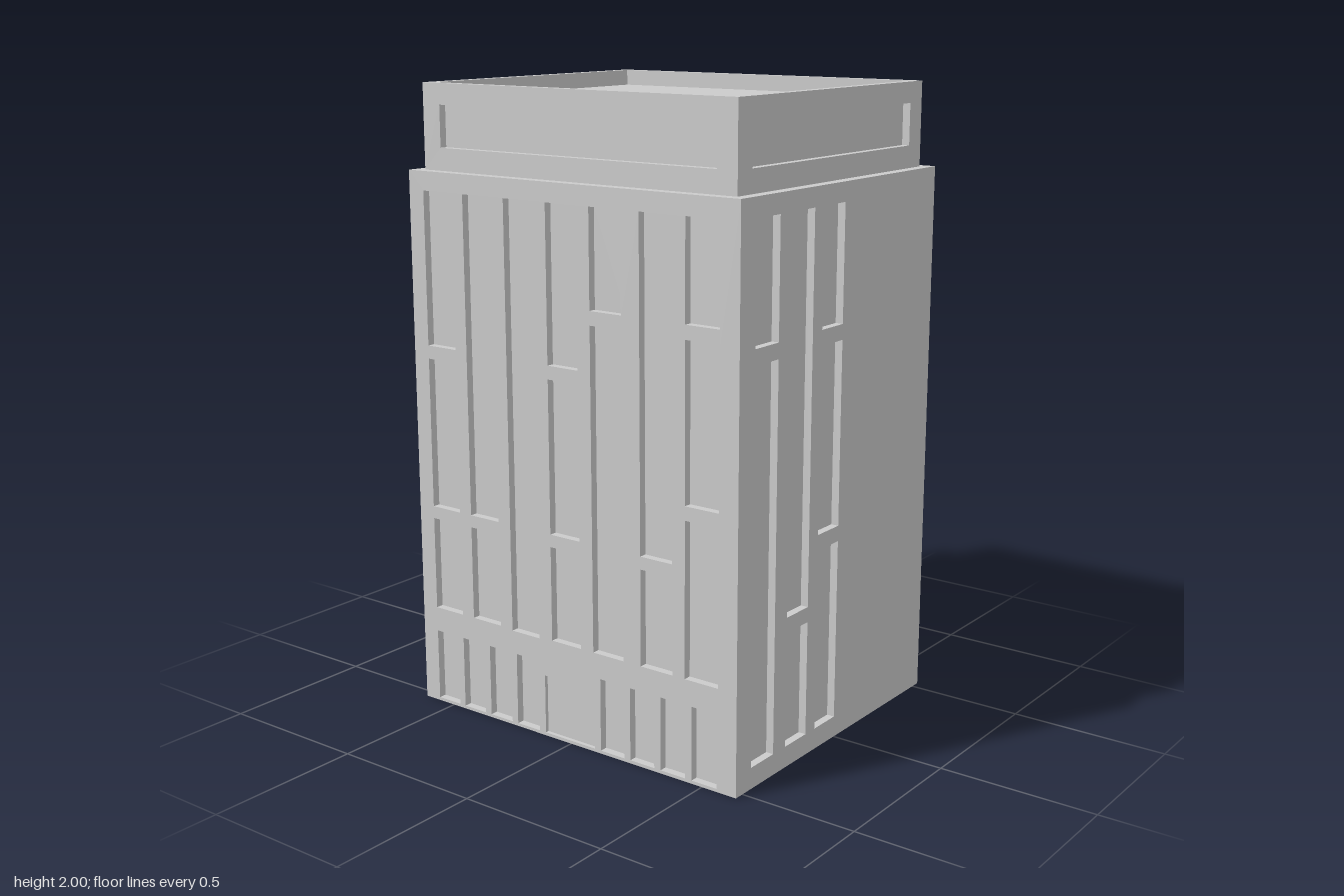
import * as THREE from 'three';
import { mergeGeometries } from 'three/addons/utils/BufferGeometryUtils.js';

const material = new THREE.MeshStandardMaterial({ color: 0xcccccc, side: THREE.DoubleSide });

const W = 0.622, D = 0.533, H = 1.735; // main block half-width, half-depth, height
const TW = 0.586, TD = 0.498, TOP = 2; // top storey
const RECESS = 0.025;

function rectPath(PathClass, [x0, x1, y0, y1]) {
  return new PathClass([
    new THREE.Vector2(x0, y0), new THREE.Vector2(x1, y0),
    new THREE.Vector2(x1, y1), new THREE.Vector2(x0, y1),
  ]);
}

// Inward-facing open box filling an opening
function pocket([x0, x1, y0, y1], depth) {
  const box = new THREE.BoxGeometry(x1 - x0, y1 - y0, depth);
  const index = Array.from(box.index.array);
  index.splice(24, 6); // remove the front
  box.setIndex(index.reverse());
  box.translate((x0 + x1) / 2, (y0 + y1) / 2, -depth / 2);
  const flat = box.toNonIndexed();
  flat.computeVertexNormals();
  return flat;
}

// Flat sheet in the xy plane with recessed panels; each is [x0, x1, y0, y1, depth]
function sheet(name, bounds, panels = []) {
  const shape = rectPath(THREE.Shape, bounds);
  shape.holes = panels.map((p) => rectPath(THREE.Path, p));
  const parts = [new THREE.ShapeGeometry(shape).toNonIndexed()];
  for (const p of panels) parts.push(pocket(p, p[4] ?? RECESS));
  const mesh = new THREE.Mesh(mergeGeometries(parts), material);
  mesh.name = name;
  return mesh;
}

// Window columns: [start, end, [bottom, top] pairs]
const frontColumns = [
  [-0.563, -0.447, [[1.19, 1.675], [0.665, 1.148], [0.323, 0.625]]],
  [-0.4, -0.283, [[0.665, 1.675], [0.323, 0.625]]],
  [-0.235, -0.122, [[0.318, 1.675]]],
  [-0.071, 0.045, [[1.19, 1.675], [0.665, 1.148], [0.323, 0.625]]],
  [0.093, 0.209, [[1.373, 1.675], [0.323, 1.33]]],
  [0.275, 0.392, [[0.665, 1.675], [0.323, 0.625]]],
  [0.437, 0.556, [[1.373, 1.675], [0.848, 1.33], [0.323, 0.805]]],
];
const sideColumns = [
  [0.341, 0.458, [[1.314, 1.675], [0.067, 1.266]]],
  [0.164, 0.278, [[0.477, 1.675], [0.067, 0.429]]],
  [0, 0.114, [[1.314, 1.675], [0.69, 1.266], [0.067, 0.641]]],
];
const expand = (columns) =>
  columns.flatMap(([a, b, spans]) => spans.map(([y0, y1]) => [a, b, y0, y1]));

export function createModel() {
  const group = new THREE.Group();
  group.name = 'officeBuilding';
  const add = (mesh, x, y, z, ry = 0, rx = 0) => {
    mesh.position.set(x, y, z);
    mesh.rotation.set(rx, ry, 0);
    group.add(mesh);
  };

  // Front: window columns, ground-floor bays and the door
  const front = expand(frontColumns);
  for (const start of [-0.563, 0.119]) {
    for (let i = 0; i < 4; i++) {
      const x = start + i * 0.1145;
      front.push([x, x + 0.091, 0.01, 0.243]);
    }
  }
  front.push([-0.103, 0.096, 0.01, 0.2, 0.012]);
  add(sheet('frontWall', [-W, W, 0, H], front), 0, 0, D);

  // Sides, mirrored
  const side = expand(sideColumns);
  const flipped = side.map(([a, b, y0, y1]) => [-b, -a, y0, y1]);
  add(sheet('leftWall', [-D, D, 0, H], flipped), W, 0, 0, Math.PI / 2);
  add(sheet('rightWall', [-D, D, 0, H], side), -W, 0, 0, -Math.PI / 2);
  add(sheet('backWall', [-W, W, 0, H]), 0, 0, -D, Math.PI);

  // Ledge around the top storey
  const ledgeShape = rectPath(THREE.Shape, [-W, W, -D, D]);
  ledgeShape.holes.push(rectPath(THREE.Path, [-TW, TW, -TD, TD]));
  const ledge = new THREE.Mesh(new THREE.ShapeGeometry(ledgeShape), material);
  ledge.name = 'ledge';
  add(ledge, 0, H, 0, 0, -Math.PI / 2);

  // Top storey with long recessed bands on three sides
  const sideBand = [[-0.428, 0.428, 1.805, 1.935]];
  add(sheet('topFrontWall', [-TW, TW, H, TOP], [[-0.518, 0.518, 1.805, 1.935]]), 0, 0, TD);
  add(sheet('topLeftWall', [-TD, TD, H, TOP], sideBand), TW, 0, 0, Math.PI / 2);
  add(sheet('topRightWall', [-TD, TD, H, TOP], sideBand), -TW, 0, 0, -Math.PI / 2);
  add(sheet('topBackWall', [-TW, TW, H, TOP]), 0, 0, -TD, Math.PI);

  // Sunken roof inside the parapet
  add(sheet('roof', [-TW, TW, -TD, TD], [[-0.558, 0.558, -0.47, 0.47, 0.05]]), 0, TOP, 0, 0, -Math.PI / 2);

  return group;
}
